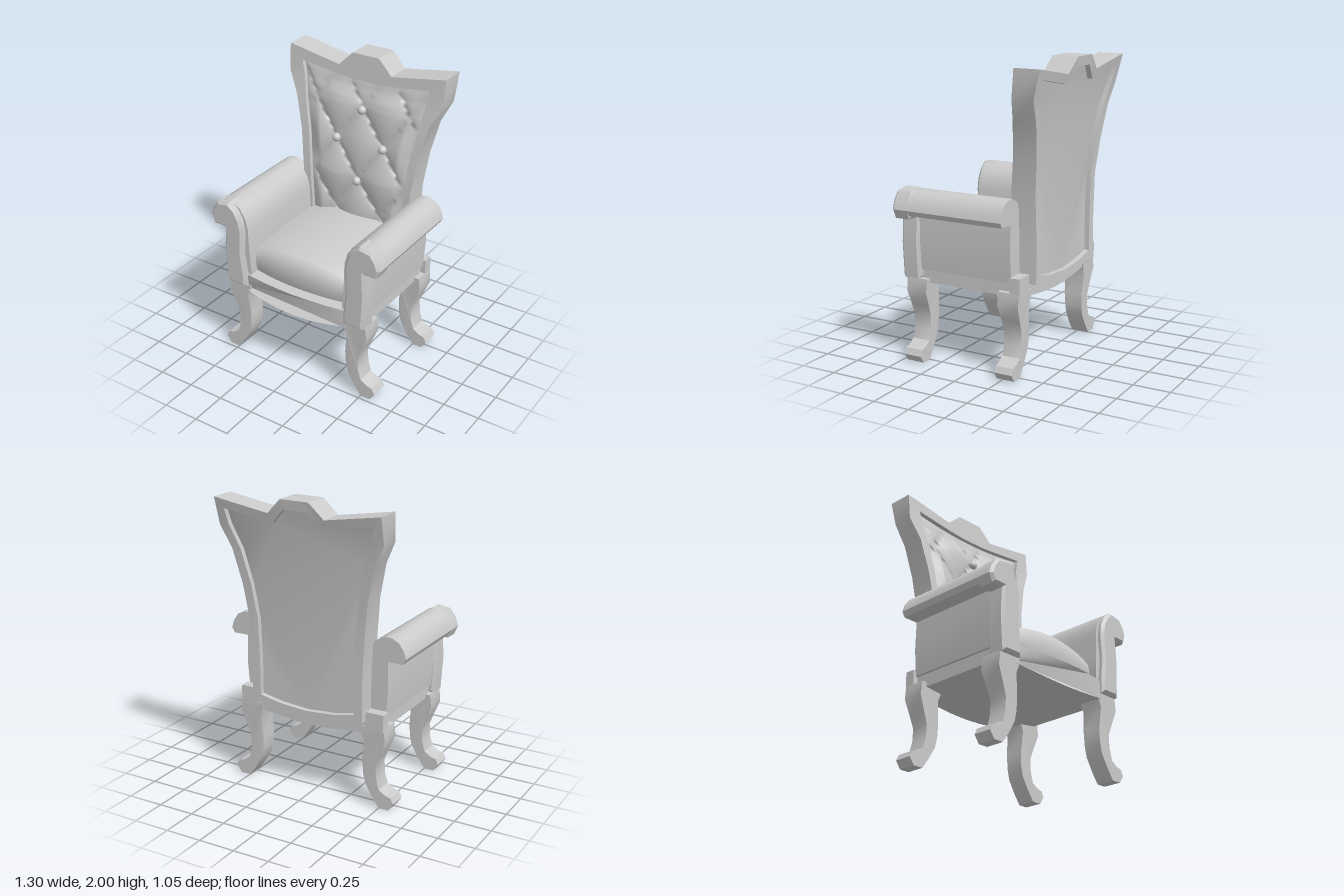
import * as THREE from 'three';
import { toCreasedNormals } from 'three/addons/utils/BufferGeometryUtils.js';
import { ParametricGeometry } from 'three/addons/geometries/ParametricGeometry.js';

const material = new THREE.MeshStandardMaterial({ color: 0xcccccc, side: THREE.DoubleSide });

function addMesh(group, name, geometry) {
  const mesh = new THREE.Mesh(geometry, material);
  mesh.name = name;
  group.add(mesh);
  return mesh;
}

// Piecewise linear lookup in [key, value] pairs
function lookup(table, k) {
  if (k <= table[0][0]) return table[0][1];
  for (let i = 1; i < table.length; i++) {
    const [a, va] = table[i - 1], [b, vb] = table[i];
    if (k <= b) return va + (vb - va) * (k - a) / (b - a);
  }
  return table[table.length - 1][1];
}

// Extrude an outline along z, optionally mirrored in x
function extrude(points, z0, z1, { side = 1, bevel = 0, steps = 1 } = {}) {
  const shape = new THREE.Shape(points.map(([x, y]) => new THREE.Vector2(x * side, y)));
  const geo = new THREE.ExtrudeGeometry(shape, {
    depth: z1 - z0 - 2 * bevel, steps, bevelEnabled: bevel > 0,
    bevelThickness: bevel, bevelSize: bevel, bevelOffset: -bevel, bevelSegments: 1,
  });
  return geo.translate(0, 0, z0 + bevel);
}

function warp(geo, rule) {
  const p = geo.attributes.position, v = new THREE.Vector3();
  for (let i = 0; i < p.count; i++) {
    rule(v.fromBufferAttribute(p, i));
    p.setXYZ(i, v.x, v.y, v.z);
  }
  return geo;
}

const crease = (geo, angle = 0.7) => toCreasedNormals(geo, angle);

// Lean of the backrest: depth of its front and rear faces by height
const frontZ = y => lookup([[1.17, -0.23], [1.65, -0.29], [1.77, -0.32], [2, -0.34]], y);
const rearZ = y => lookup([[1.2, -0.4], [1.65, -0.45], [1.77, -0.465], [1.9, -0.505], [2, -0.52]], y);

// Half outlines, bottom centre to top centre
const outer = [[0, 0.55], [0.2, 0.565], [0.41, 0.6], [0.41, 0.9], [0.425, 1.17], [0.455, 1.4],
  [0.51, 1.63], [0.585, 1.78], [0.59, 1.965], [0.2, 1.9], [0.1, 2], [0, 2]];
const rearInner = [[0, 0.6], [0.2, 0.615], [0.35, 0.645], [0.35, 0.9], [0.36, 1.17], [0.39, 1.4],
  [0.445, 1.63], [0.515, 1.79], [0.525, 1.895], [0.18, 1.835], [0.085, 1.935], [0, 1.935]];
const frontInner = [[0, 0.7], [0.2, 0.7], [0.355, 0.7], [0.355, 0.9], [0.37, 1.17], [0.395, 1.4],
  [0.435, 1.6], [0.465, 1.77], [0.49, 1.87], [0.2, 1.835], [0.1, 1.827], [0, 1.825]];
const fullLoop = half => [...half, ...half.slice(1, -1).reverse().map(([x, y]) => [-x, y])];

function buildBack(group) {
  // Frame ring: rear recess, rear face, sides, front face, front recess
  const sections = [
    [rearInner, y => rearZ(y) + 0.035], [rearInner, rearZ], [outer, rearZ],
    [outer, frontZ], [frontInner, frontZ], [frontInner, y => frontZ(y) - 0.04],
  ].map(([half, z]) => fullLoop(half).map(([x, y]) => [x, y, z(y)]));
  const n = sections[0].length, index = [];
  for (let s = 0; s < sections.length - 1; s++) {
    for (let i = 0; i < n; i++) {
      const j = (i + 1) % n, a = s * n + i, b = s * n + j, c = b + n, d = a + n;
      index.push(a, b, d, b, c, d);
    }
  }
  const ring = new THREE.BufferGeometry();
  ring.setAttribute('position', new THREE.Float32BufferAttribute(sections.flat(2), 3));
  ring.setIndex(index);
  addMesh(group, 'backFrame', crease(ring, 0.5));

  // Plain rear panel inside the frame
  const loop = fullLoop(rearInner).map(([x, y]) => new THREE.Vector2(x, y));
  const panel = new THREE.BufferGeometry();
  panel.setAttribute('position', new THREE.Float32BufferAttribute(
    loop.flatMap(p => [p.x, p.y, rearZ(p.y) + 0.035]), 3));
  panel.setIndex(THREE.ShapeUtils.triangulateShape(loop, []).flatMap(([a, b, c]) => [a, c, b]));
  addMesh(group, 'rearPanel', crease(panel, 0.6));

  // Tufted cushion with diamond creases running through the buttons
  const widths = frontInner.slice(2, 9).map(([x, y]) => [y, x]);
  const tufted = new ParametricGeometry((u, v, target) => {
    const s = 2 * u - 1;
    const y = 0.7 + (1.125 + 0.045 * s * s) * v;
    const x = s * lookup(widths, y);
    const a = x / 0.36 + (y - 1.4) / 0.5, b = x / 0.36 - (y - 1.4) / 0.5;
    const puff = Math.sqrt(Math.abs(Math.cos(Math.PI * a) * Math.cos(Math.PI * b)));
    const fade = Math.min(1, (1 - Math.abs(s)) * 5, (1 - v) * 8);
    target.set(x, y, frontZ(y) - 0.03 + 0.04 * puff * fade);
  }, 32, 48);
  addMesh(group, 'tuftedCushion', tufted);

  for (const [x, y] of [[0, 1.63], [-0.18, 1.4], [0.18, 1.4], [0, 1.13]]) {
    const button = addMesh(group, 'button', new THREE.SphereGeometry(0.03, 14, 10));
    button.position.set(x, y, frontZ(y) - 0.015);
  }
}

function buildSeat(group) {
  // Base with a bowed front and an arched lower edge
  const half = [[0, 0.48], [0.13, 0.485], [0.25, 0.497], [0.36, 0.512], [0.5, 0.53]];
  const bottom = [...half.slice(1).reverse().map(([x, y]) => [-x, y]), ...half];
  const top = bottom.map(([x]) => [x, 0.64]).reverse();
  const base = warp(extrude([...bottom, ...top], -0.34, 0.525),
    v => { if (v.z > 0) v.z -= 0.24 * v.x * v.x; });
  addMesh(group, 'seatBase', crease(base, 0.5));

  // Crowned seat cushion, side profile swept across x
  const profile = [[0.27, 0.62], [-0.44, 0.62], [-0.46, 0.68], [-0.46, 0.74], [-0.445, 0.785],
    [-0.41, 0.81], [-0.34, 0.825], [-0.1, 0.835], [0.27, 0.835]];
  const cushion = extrude(profile, -0.37, 0.37, { steps: 12 }).rotateY(Math.PI / 2);
  warp(cushion, v => {
    const t = (v.x / 0.37) ** 2;
    if (v.y > 0.7) v.y += 0.045 * (1 - t) * Math.min(1, (v.y - 0.7) / 0.1) - 0.01 * t;
    if (v.z > 0.3) v.z -= 0.04 * t;
  });
  addMesh(group, 'seatCushion', crease(cushion, 0.8));
}

const armOutline = [[0.37, 0.6], [0.358, 0.66], [0.37, 0.8], [0.375, 0.98], [0.395, 1.06], [0.435, 1.12],
  [0.5, 1.155], [0.55, 1.155], [0.6, 1.13], [0.635, 1.08], [0.65, 1.03], [0.63, 0.995],
  [0.525, 0.995], [0.53, 0.8], [0.515, 0.62]];
const postOutline = [[0.385, 0.555], [0.385, 0.64], [0.405, 0.8], [0.395, 0.97], [0.41, 1.05], [0.445, 1.115],
  [0.5, 1.16], [0.59, 1.145], [0.63, 1.09], [0.65, 1.03], [0.625, 0.97],
  [0.54, 0.97], [0.55, 0.79], [0.535, 0.555]];
const legOutline = [[0.37, 0.56], [0.37, 0.525], [0.395, 0.46], [0.38, 0.31], [0.385, 0.22], [0.4, 0.155],
  [0.45, 0.07], [0.5, 0], [0.57, 0], [0.605, 0.05], [0.585, 0.09], [0.545, 0.1], [0.5, 0.13],
  [0.48, 0.2], [0.475, 0.29], [0.505, 0.37], [0.545, 0.47], [0.535, 0.56]];

// Legs are a little deeper at the top than at the foot
function buildLeg(group, name, side, zMid) {
  const leg = warp(extrude(legOutline, -0.0625, 0.0625, { side }),
    v => { v.z = zMid + v.z * (1 + 0.22 * THREE.MathUtils.smoothstep(v.y, 0.25, 0.55)); });
  addMesh(group, name, crease(leg, 0.65));
}

function buildSide(group, side) {
  const prefix = side > 0 ? 'left' : 'right';
  addMesh(group, prefix + 'Arm', crease(extrude(armOutline, -0.28, 0.48, { side }).toNonIndexed?.() ?? null) );
  addMesh(group, prefix + 'ArmPost', crease(extrude(postOutline, 0.385, 0.52, { side, bevel: 0.018 }), 0.5));
  buildLeg(group, prefix + 'FrontLeg', side, 0.41);
  buildLeg(group, prefix + 'BackLeg', side, -0.27);
  // Upper block joining the back leg to the backrest
  const block = addMesh(group, prefix + 'BackLegBlock', new THREE.BoxGeometry(0.13, 0.12, 0.07));
  block.position.set(side * 0.47, 0.6, -0.315);
}

export function createModel() {
  const group = new THREE.Group();
  group.name = 'armchair';
  buildBack(group);
  buildSeat(group);
  for (const side of [1, -1]) buildSide(group, side);
  return group;
}
